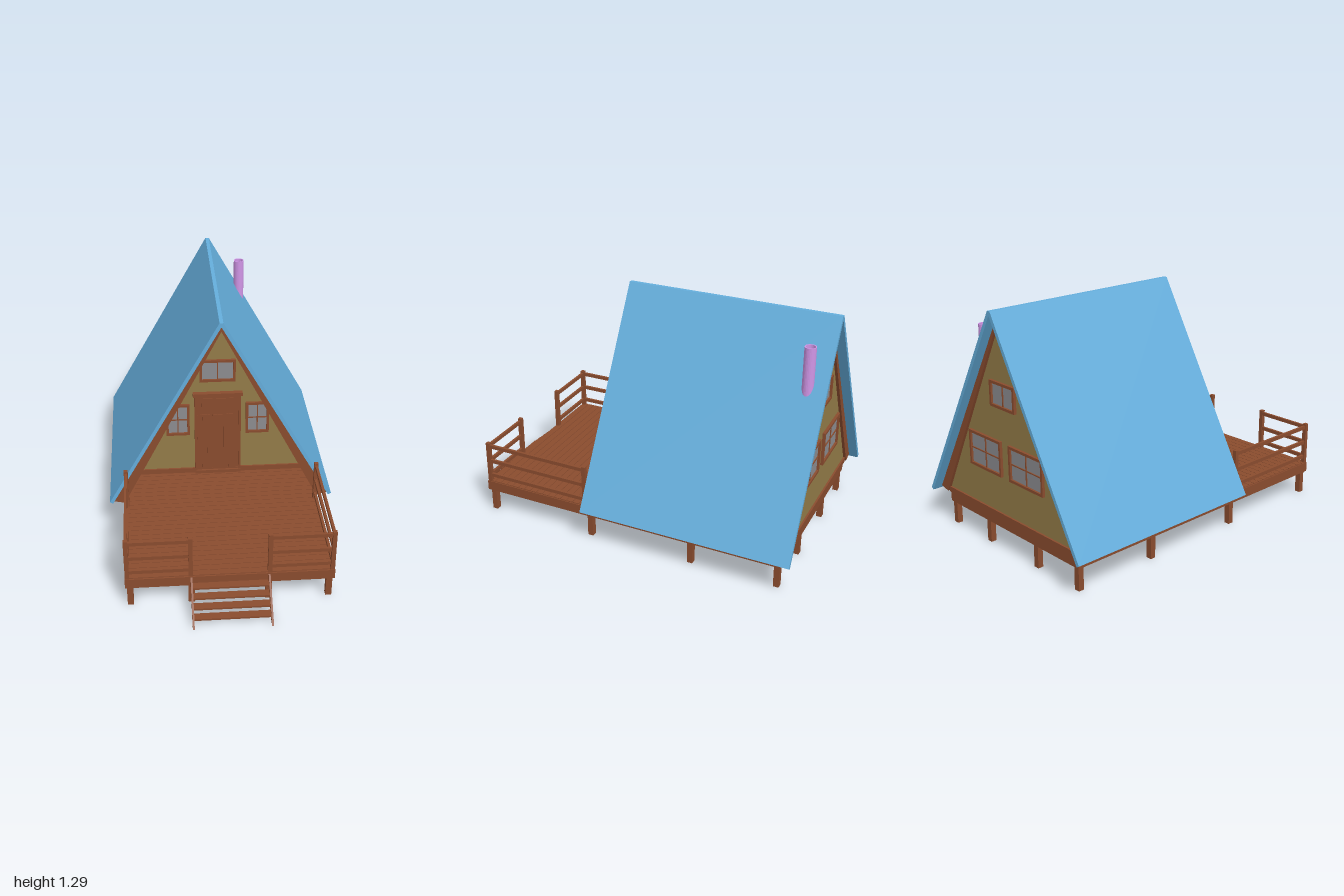
import * as THREE from 'three';

const mat = (color) => new THREE.MeshStandardMaterial({ color, side: THREE.DoubleSide });

export function createModel() {
  const root = new THREE.Group();
  const wood = mat(0x8a4c2e), olive = mat(0x947c48), blue = mat(0x65aedc);
  const glass = mat(0x8c8c90), pink = mat(0xd095e6);

  const group = (name, parent = root) => {
    const g = new THREE.Group();
    g.name = name;
    parent.add(g);
    return g;
  };
  const add = (name, geo, m, parent = root) => {
    const mesh = new THREE.Mesh(geo, m);
    mesh.name = name;
    parent.add(mesh);
    return mesh;
  };
  // box given by its ranges in x, y and z
  const box = (name, x0, x1, y0, y1, z0, z1, m = wood, parent = root) => {
    const mesh = add(name, new THREE.BoxGeometry(x1 - x0, y1 - y0, z1 - z0), m, parent);
    mesh.position.set((x0 + x1) / 2, (y0 + y1) / 2, (z0 + z1) / 2);
    return mesh;
  };
  // outline in x, y extruded from z0 to z1
  const prism = (name, pts, z0, z1, m, parent = root) => {
    const shape = new THREE.Shape(pts.map(([x, y]) => new THREE.Vector2(x, y)));
    const geo = new THREE.ExtrudeGeometry(shape, { depth: z1 - z0, bevelEnabled: false });
    return add(name, geo.translate(0, 0, z0), m, parent);
  };
  // mirrors an open half outline across x = 0
  const mirrored = (half) => [...half, ...half.slice().reverse().map(([x, y]) => [-x, y])];

  // Roof skin and the timber layer under it
  prism('roof', mirrored([[0.001, 1.265], [0.608, 0.187], [0.625, 0.197], [0.01, 1.29]]), -1, 0.165, blue);
  prism('roofTimber', mirrored([[0.001, 1.237], [0.541, 0.187], [0.603, 0.2], [0.002, 1.267]]), -0.95, 0.16, wood);

  // Gable walls with base boards
  const gable = [[-0.54, 0.187], [0.54, 0.187], [0, 1.245]];
  const FRONT = -0.12, BACK = -0.935;
  prism('frontWall', gable, FRONT - 0.03, FRONT, olive);
  prism('backWall', gable, BACK, BACK + 0.03, olive);
  box('frontBaseBoard', -0.53, 0.53, 0.185, 0.215, FRONT, FRONT + 0.01);
  box('backBaseBoard', -0.53, 0.53, 0.185, 0.215, BACK - 0.01, BACK);

  // Deck planks and rim beams
  const deck = group('deck');
  const n = 45, pitch = 1.73 / n;
  for (let i = 0; i < n; i++) {
    const z = -0.93 + i * pitch;
    box('plank', -0.535, 0.535, 0.168, 0.185, z, z + pitch - 0.003, wood, deck);
  }
  for (const s of [-1, 1]) {
    box('sideBeam', s * 0.53 - 0.01, s * 0.53 + 0.01, 0.125, 0.18, -0.93, 0.805, wood, deck);
  }
  box('frontBeam', -0.54, 0.54, 0.125, 0.18, 0.785, 0.805, wood, deck);
  box('backBeam', -0.54, 0.54, 0.125, 0.18, -0.932, -0.912, wood, deck);

  // Support posts around the rim
  const posts = group('supportPosts');
  const rows = [0.775, 0.155, -0.435, -0.91];
  rows.forEach((z, i) => {
    const xs = i === 0 || i === 3 ? [-0.515, -0.2, 0.2, 0.515] : [-0.515, 0.515];
    for (const x of xs) box('post', x - 0.016, x + 0.016, 0, 0.17, z - 0.015, z + 0.015, wood, posts);
  });

  // Railings on both sides of the steps
  for (const s of [-1, 1]) {
    const rail = group(s > 0 ? 'leftRailing' : 'rightRailing');
    for (const [x, z] of [[0.527, 0.79], [0.527, 0.185], [0.203, 0.79]]) {
      box('railPost', s * x - 0.011, s * x + 0.011, 0.18, 0.42, z - 0.011, z + 0.011, wood, rail);
    }
    for (const y of [0.22, 0.308, 0.4]) {
      box('sideRail', s * 0.527 - 0.007, s * 0.527 + 0.007, y - 0.01, y + 0.01, 0.185, 0.79, wood, rail);
      box('frontRail', s * 0.365 - 0.162, s * 0.365 + 0.162, y - 0.01, y + 0.01, 0.783, 0.797, wood, rail);
    }
  }

  // Steps
  const steps = group('steps');
  for (const s of [-1, 1]) {
    const stringer = prism('stringer', [[-0.8, 0.18], [-0.8, 0.125], [-0.945, 0], [-1, 0]], -0.005, 0.005, wood, steps);
    stringer.rotation.y = Math.PI / 2;
    stringer.position.x = s * 0.2;
  }
  for (let i = 0; i < 4; i++) {
    const y = 0.032 + i * 0.034, z = 0.942 - i * 0.039;
    box('tread', -0.195, 0.195, y - 0.005, y + 0.005, z - 0.022, z + 0.022, wood, steps);
  }

  // Window built facing +z with its back at z = 0
  const window_ = (name, x, y, z, w, h, cross, back) => {
    const g = group(name);
    const t = 0.014;
    const shape = new THREE.Shape([[-w, -h], [w, -h], [w, h], [-w, h]].map(([a, b]) => new THREE.Vector2(a / 2, b / 2)));
    const a = w / 2 - t, b = h / 2 - t;
    shape.holes.push(new THREE.Path([[-a, -b], [-a, b], [a, b], [a, -b]].map(([p, q]) => new THREE.Vector2(p, q))));
    add('frame', new THREE.ExtrudeGeometry(shape, { depth: 0.015, bevelEnabled: false }), wood, g);
    box('pane', -a, a, -b, b, 0, 0.004, glass, g);
    box('mullion', -0.003, 0.003, -b, b, 0.002, 0.009, wood, g);
    if (cross) box('crossBar', -a, a, -0.003, 0.003, 0.002, 0.009, wood, g);
    g.position.set(x, y, z);
    if (back) g.rotation.y = Math.PI;
  };
  window_('frontUpperWindow', 0, 0.862, FRONT, 0.2, 0.135, false, false);
  window_('backUpperWindow', 0, 0.855, BACK, 0.2, 0.135, false, true);
  for (const s of [-1, 1]) {
    window_('frontLowerWindow', s * 0.227, 0.55, FRONT, 0.134, 0.2, true, false);
    window_('backLowerWindow', s * 0.168, 0.515, BACK, 0.27, 0.19, true, true);
  }

  // Door with boards, top panel and lintel
  const door = group('door');
  box('leaf', -0.12, 0.12, 0.2, 0.705, FRONT, FRONT + 0.008, wood, door);
  for (let i = 0; i < 7; i++) {
    const x = -0.105 + i * 0.03;
    box('board', x - 0.013, x + 0.013, 0.215, 0.58, FRONT, FRONT + 0.012, wood, door);
  }
  box('topPanel', -0.09, 0.09, 0.605, 0.685, FRONT, FRONT + 0.012, wood, door);
  for (const s of [-1, 1]) {
    box('jamb', s * 0.126 - 0.006, s * 0.126 + 0.006, 0.19, 0.71, FRONT, FRONT + 0.018, wood, door);
  }
  box('lintel', -0.14, 0.14, 0.705, 0.725, FRONT, FRONT + 0.028, wood, door);
  box('threshold', -0.132, 0.132, 0.185, 0.205, FRONT, FRONT + 0.022, wood, door);

  // Chimney pipe and its flashing plate lying on the roof slope
  const chimney = group('chimney');
  const pipe = [[0.024, 0.88], [0.03, 0.88], [0.03, 1.18], [0.024, 1.18], [0.024, 0.88]];
  const tube = add('pipe', new THREE.LatheGeometry(pipe.map(([r, y]) => new THREE.Vector2(r, y)), 24), pink, chimney);
  tube.geometry = tube.geometry.toNonIndexed();
  tube.geometry.computeVertexNormals();
  tube.position.set(0.185, 0, -0.9);
  prism('flashing', [[0.142, 1.045], [0.225, 0.897], [0.229, 0.9], [0.146, 1.048]], -0.948, -0.852, pink, chimney);

  return root;
}
